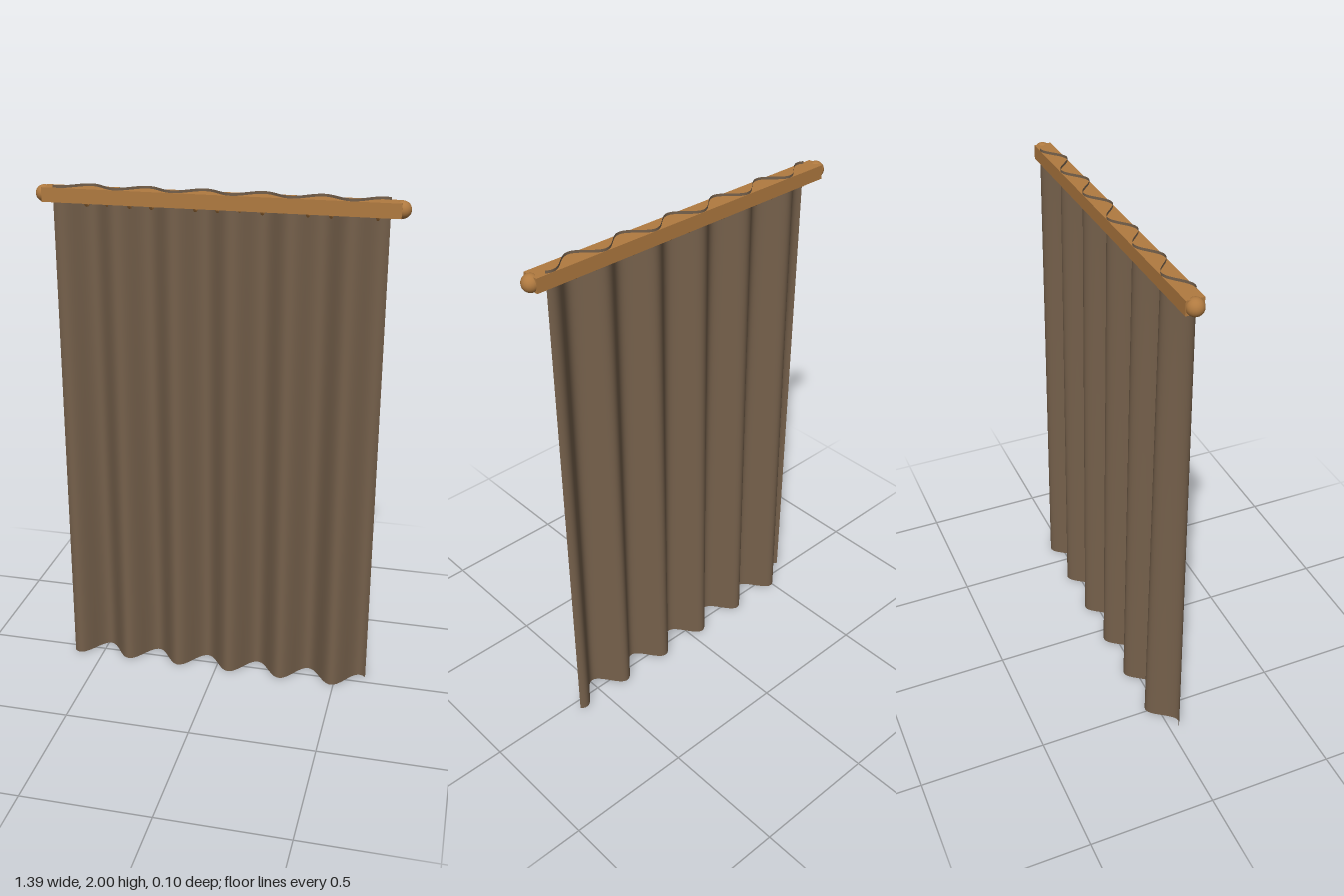
import * as THREE from 'three';

export function createModel() {
  const group = new THREE.Group();
  const fabric = new THREE.MeshStandardMaterial({ color: 0x75604b, side: THREE.DoubleSide });
  fabric.name = 'brown fabric';
  const wood = new THREE.MeshStandardMaterial({ color: 0xb07a40 });
  wood.name = 'warm wood';

  const add = (name, geometry, material, x, y) => {
    const mesh = new THREE.Mesh(geometry, material);
    mesh.name = name;
    mesh.position.set(x, y, 0);
    group.add(mesh);
    return mesh;
  };

  // Curtain: a sheet with wave folds that deepen towards the hem
  const sheet = new THREE.PlaneGeometry(1.245, 2, 140, 12);
  const p = sheet.attributes.position;
  for (let i = 0; i < p.count; i++) {
    const depth = THREE.MathUtils.lerp(0.05, 0.032, (p.getY(i) + 1) / 2);
    p.setZ(i, depth * Math.sin(28.9 * p.getX(i)));
  }
  sheet.computeVertexNormals();
  add('curtain', sheet, fabric, 0, 1);

  // Rod with a round finial at each end
  const rodY = 1.963;
  add('rod', new THREE.BoxGeometry(1.33, 0.054, 0.066), wood, 0, rodY);
  const finial = new THREE.SphereGeometry(0.032, 20, 14);
  for (const side of [-1, 1]) {
    add(side > 0 ? 'leftFinial' : 'rightFinial', finial, wood, side * 0.665, rodY);
  }

  // Hanging rings, just showing below the rod
  const ring = new THREE.TorusGeometry(0.026, 0.006, 8, 20);
  for (let i = -7; i <= 7; i++) {
    add('ring', ring, wood, i * 0.083, 1.951).rotation.y = Math.PI / 2;
  }
  return group;
}
